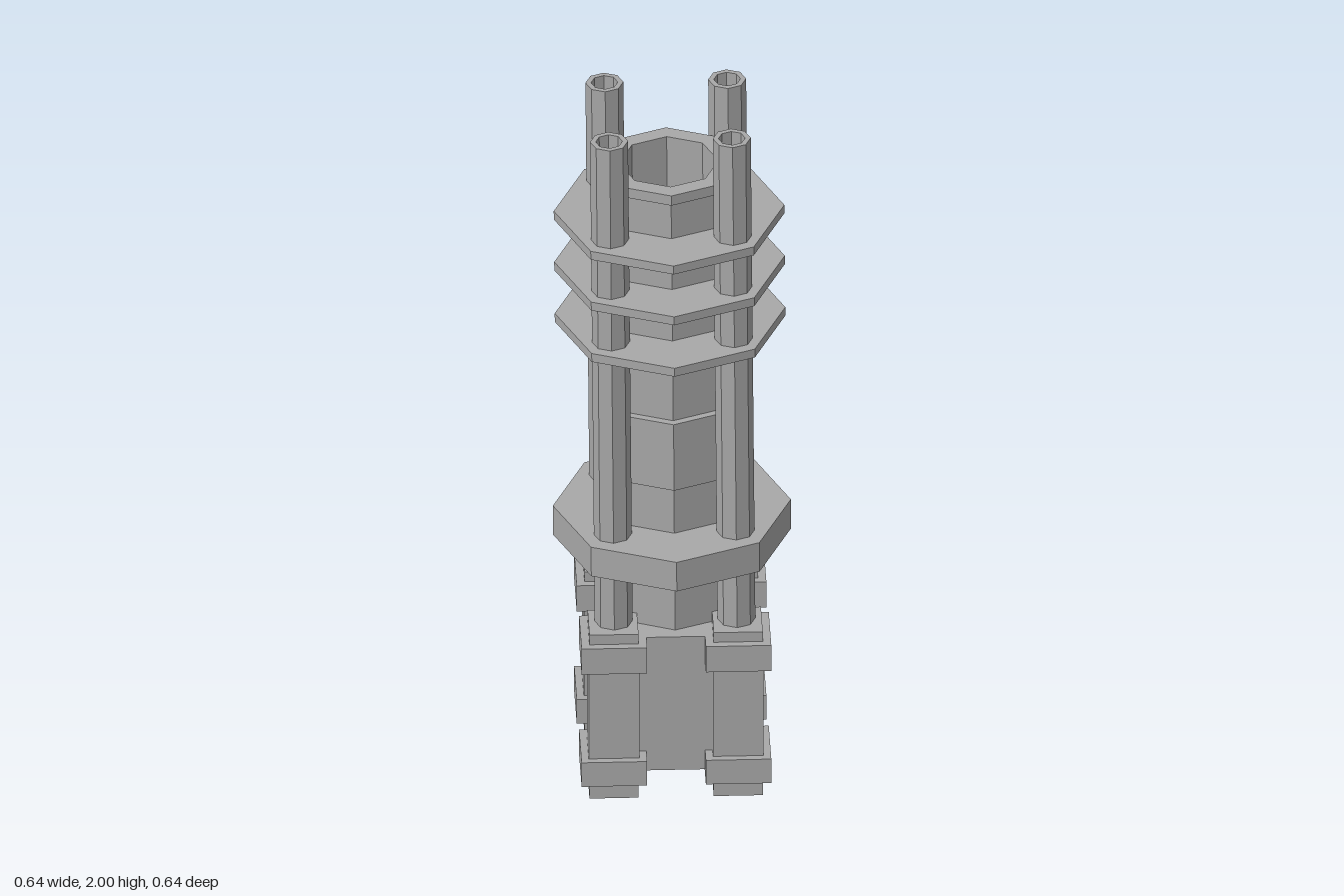
import * as THREE from 'three';

export function createModel() {
  const grey = new THREE.MeshStandardMaterial({ color: 0xa8a8a8 });
  grey.name = 'grey metal';
  const model = new THREE.Group();
  model.name = 'tower';

  const add = (parent, name, geometry, x = 0, y = 0, z = 0) => {
    const mesh = new THREE.Mesh(geometry, grey);
    mesh.name = name;
    mesh.position.set(x, y, z);
    parent.add(mesh);
    return mesh;
  };

  // Hollow eight-sided ring or tube with flat faces
  const octagonRing = (inner, outer, y0, y1) => {
    const profile = [[inner, y0], [outer, y0], [outer, y1], [inner, y1], [inner, y0]]
      .map(([r, y]) => new THREE.Vector2(r, y));
    const geometry = new THREE.LatheGeometry(profile, 8).toNonIndexed();
    geometry.computeVertexNormals();
    return geometry;
  };

  // Square block between two heights
  const block = (parent, name, width, y0, y1, x = 0, z = 0) =>
    add(parent, name, new THREE.BoxGeometry(width, y1 - y0, width), x, (y0 + y1) / 2, z);

  // Base with four collared corner posts
  const base = new THREE.Group();
  base.name = 'base';
  model.add(base);
  block(base, 'baseBody', 0.4, 0.065, 0.48);
  for (const sx of [-1, 1]) {
    for (const sz of [-1, 1]) {
      const x = sx * 0.167, z = sz * 0.167;
      block(base, 'foot', 0.132, 0, 0.05, x, z);
      block(base, 'lowerCollar', 0.176, 0.05, 0.125, x, z);
      block(base, 'post', 0.136, 0.125, 0.4, x, z);
      block(base, 'upperCollar', 0.176, 0.4, 0.48, x, z);
      block(base, 'postCap', 0.132, 0.48, 0.51, x, z);
    }
  }

  // Upper works lean very slightly, pivoting on the base
  const upper = new THREE.Group();
  upper.name = 'upperWorks';
  upper.position.y = 0.5;
  upper.rotation.set(-0.007, 0, 0.008);
  model.add(upper);
  const ring = (name, inner, outer, y0, y1, x = 0, z = 0) =>
    add(upper, name, octagonRing(inner, outer, y0 - 0.5, y1 - 0.5), x, 0, z);

  // Central tube with its sleeve and rim
  ring('centralTube', 0.134, 0.164, 0.47, 1.84);
  ring('tubeSleeve', 0.15, 0.186, 0.925, 1.13);
  ring('tubeRim', 0.134, 0.183, 1.81, 1.84);

  // Thick brace and three thin plates
  ring('brace', 0.15, 0.32, 0.69, 0.78);
  for (const y of [1.365, 1.525, 1.683]) ring('plate', 0.15, 0.31, y - 0.013, y + 0.013);

  // Four open pipes
  for (const sx of [-1, 1]) {
    for (const sz of [-1, 1]) ring('pipe', 0.036, 0.051, 0.5, 2, sx * 0.165, sz * 0.158);
  }
  return model;
}
